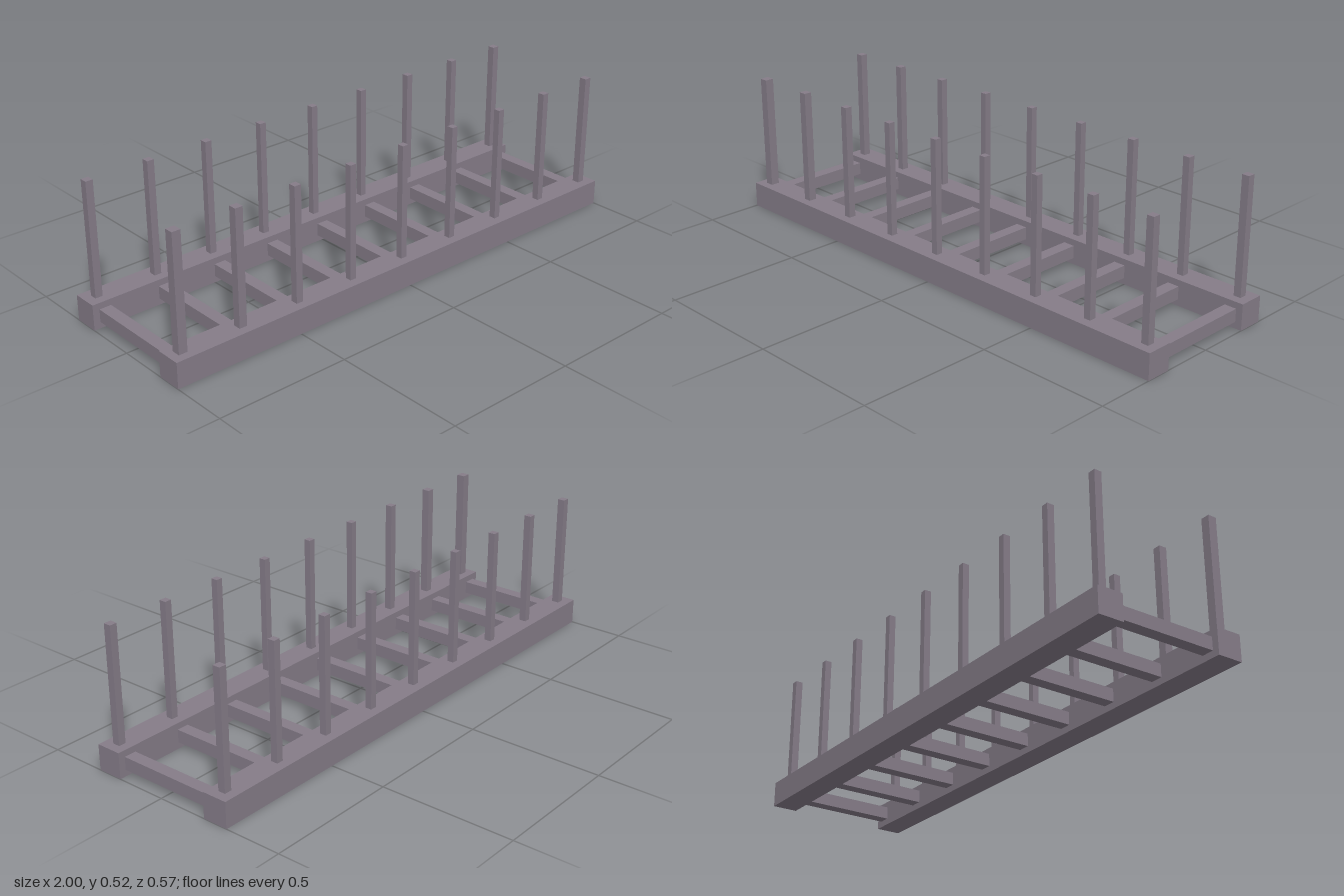
import * as THREE from 'three';

const RAIL = 0.096, RAIL_Z = 0.238, SPACING = 0.238, COUNT = 9;

export function createModel() {
  const group = new THREE.Group();
  const material = new THREE.MeshStandardMaterial({ color: 0x857c88 });

  const box = (name, w, h, d, x, y, z) => {
    const mesh = new THREE.Mesh(new THREE.BoxGeometry(w, h, d), material);
    mesh.name = name;
    mesh.position.set(x, y, z);
    group.add(mesh);
  };

  // Two long base rails
  box('frontRail', 2, RAIL, RAIL, 0, RAIL / 2, RAIL_Z);
  box('backRail', 2, RAIL, RAIL, 0, RAIL / 2, -RAIL_Z);

  // Post thickness varies slightly along each row
  const frontWidths = [0.033, 0.03, 0.027, 0.025, 0.025, 0.025, 0.025, 0.026, 0.028];
  const backWidths = [0.028, 0.027, 0.026, 0.025, 0.025, 0.025, 0.026, 0.026, 0.028];
  const postHeight = 0.525 - RAIL / 2;
  const postY = (0.525 + RAIL / 2) / 2;

  // Crossbars, each with a post at both ends, rooted inside the rails
  for (let i = 0; i < COUNT; i++) {
    const x = (i - (COUNT - 1) / 2) * SPACING;
    const f = frontWidths[i], b = backWidths[i];
    box('crossbar', 0.046, 0.048, 2 * RAIL_Z, x, RAIL / 2, 0);
    box('frontPost', f, postHeight, f, x, postY, RAIL_Z);
    box('backPost', b, postHeight, b, x, postY, -RAIL_Z);
  }
  return group;
}
